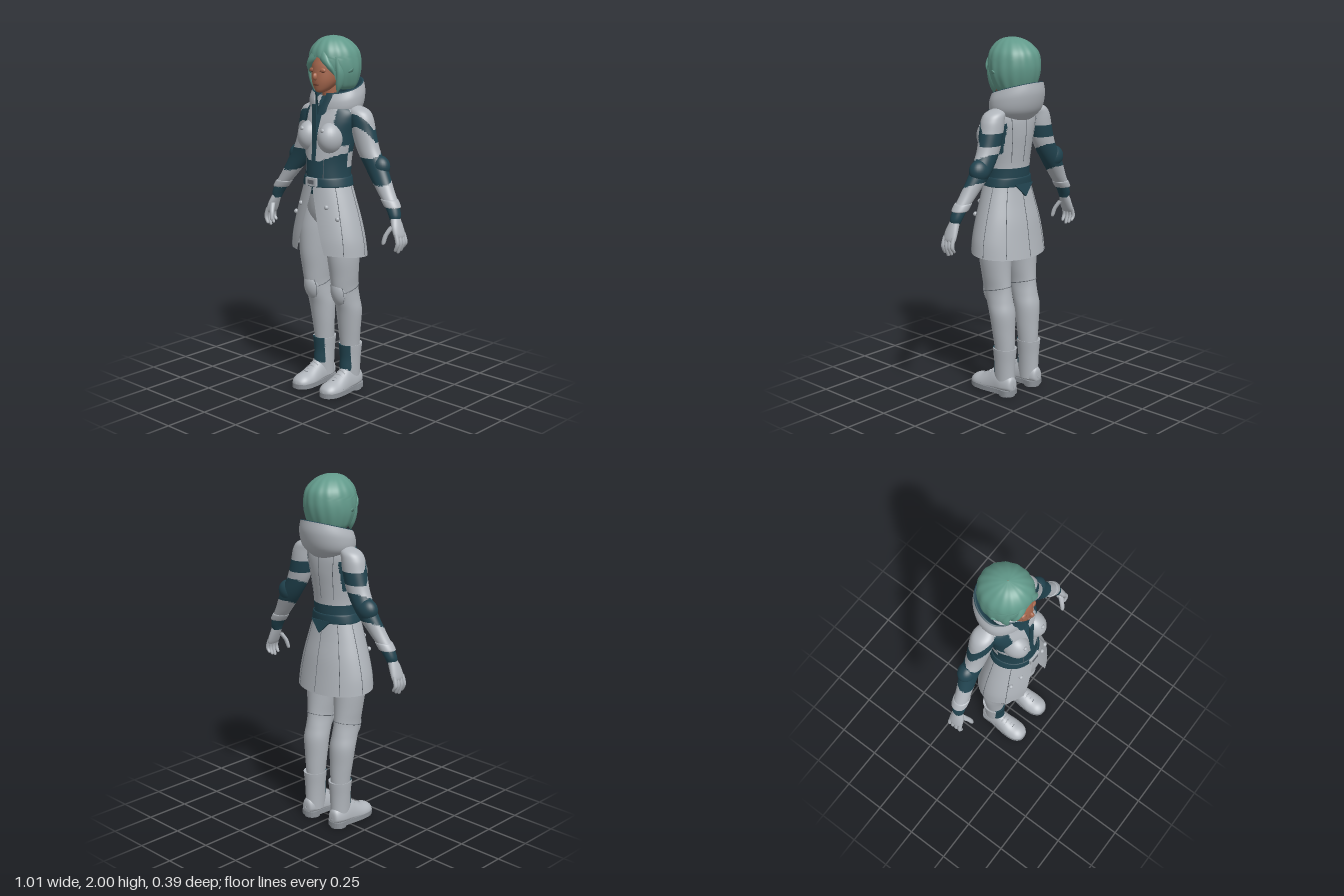
import * as THREE from 'three';

const mat = (name, color, side = THREE.DoubleSide) => {
  const m = new THREE.MeshStandardMaterial({ color, side });
  m.name = name;
  return m;
};
const coat = mat('pale grey cloth', 0xb0b5bb);
const dark = mat('dark teal cloth', 0x21434f);
const hairMat = mat('green hair', 0x629a8b);
const skin = mat('skin', 0xa8694f);
const brown = mat('lash and lip brown', 0x70402f);
const seamMat = mat('seam grey', 0x646a71);
const soleMat = mat('sole grey', 0x8b9096);

// Cross-section row: [y, centreX, centreZ, halfWidth, depthFront, depthBack, tilt]
const spline = (a, b, c, d, t) =>
  b + 0.5 * t * (c - a + t * (2 * a - 5 * b + 4 * c - d + t * (3 * (b - c) + d - a)));
function sectionAt(rows, t) {
  const f = t * (rows.length - 1), k = Math.min(Math.floor(f), rows.length - 2);
  const r = i => rows[THREE.MathUtils.clamp(i, 0, rows.length - 1)];
  return [0, 1, 2, 3, 4, 5, 6].map(n =>
    spline(r(k - 1)[n] || 0, r(k)[n] || 0, r(k + 1)[n] || 0, r(k + 2)[n] || 0, f - k));
}
function pointOn([y, cx, cz, rx, rf, rb, tilt], a, scale = 1) {
  const c = Math.cos(a), dz = c * (c > 0 ? rf : rb) * scale;
  return new THREE.Vector3(cx + rx * Math.sin(a) * scale, y - tilt * dz, cz + dz);
}

// Skin a surface over rows listed from bottom to top; gap(y) opens a slit in front
function loft(rows, { seg = 40, sub = 6, gap = null, ripple = 0 } = {}) {
  const pos = [], index = [], n = (rows.length - 1) * sub, cols = gap ? seg + 1 : seg;
  for (let j = 0; j <= n; j++) {
    const s = sectionAt(rows, j / n);
    const a0 = gap ? Math.asin(Math.min(0.99, gap(s[0]) / Math.max(s[3], 0.001))) : 0;
    for (let i = 0; i < cols; i++) {
      const a = a0 + (i / seg) * (2 * Math.PI - 2 * a0);
      const p = pointOn(s, a, 1 + ripple * Math.cos(15 * a + 9 * s[0]));
      pos.push(p.x, p.y, p.z);
      if (j === n || i === seg) continue;
      const A = j * cols + i, B = j * cols + ((i + 1) % cols);
      index.push(A, B, B + cols, A, B + cols, A + cols);
    }
  }
  const g = new THREE.BufferGeometry();
  g.setAttribute('position', new THREE.Float32BufferAttribute(pos, 3));
  g.setIndex(index);
  g.computeVertexNormals();
  return g;
}

// Sort triangles into pale (0) and dark (1) groups by a rule on their centre
function paint(g, rule) {
  const p = g.attributes.position, buckets = [[], []];
  for (let i = 0; i < g.index.count; i += 3) {
    const ids = [0, 1, 2].map(k => g.index.getX(i + k));
    const mid = f => (f(ids[0]) + f(ids[1]) + f(ids[2])) / 3;
    const isDark = rule(mid(k => p.getX(k)), mid(k => p.getY(k)), mid(k => p.getZ(k)));
    buckets[isDark ? 1 : 0].push(...ids);
  }
  g.setIndex(buckets.flat());
  g.addGroup(0, buckets[0].length, 0);
  g.addGroup(buckets[0].length, buckets[1].length, 1);
  return g;
}

export function createModel() {
  const model = new THREE.Group();
  const add = (name, geo, material) => {
    const m = new THREE.Mesh(geo, material);
    m.name = name;
    model.add(m);
    return m;
  };
  const blob = (name, material, p, r) => {
    const m = add(name, new THREE.SphereGeometry(1, 28, 18), material);
    m.position.set(...p);
    m.scale.set(...r);
    return m;
  };
  const seam = (name, pts, closed = false, r = 0.0018) =>
    add(name, new THREE.TubeGeometry(new THREE.CatmullRomCurve3(pts, closed), 40, r, 5, closed), seamMat);
  const seamOn = (name, rows, a, t0, t1) =>
    seam(name, Array.from({ length: 12 }, (_, i) => pointOn(sectionAt(rows, t0 + (t1 - t0) * i / 11), a)));

  // Jacket body
  const torso = [
    [1.15, 0, 0.02, 0.15, 0.125, 0.1], [1.2, 0, 0.02, 0.138, 0.133, 0.1], [1.25, 0, 0.02, 0.129, 0.135, 0.105],
    [1.32, 0, 0.02, 0.129, 0.13, 0.11], [1.4, 0, 0.02, 0.14, 0.123, 0.12], [1.48, 0, 0.01, 0.15, 0.125, 0.12],
    [1.55, 0, 0, 0.165, 0.115, 0.112], [1.6, 0, -0.005, 0.16, 0.1, 0.1], [1.64, 0, -0.005, 0.115, 0.09, 0.09],
    [1.68, 0, 0, 0.07, 0.06, 0.065]];
  add('jacketBody', paint(loft(torso, { seg: 112, sub: 10 }), (x, y, z) => {
    const ax = Math.abs(x);
    if (z > 0.02) return (ax < 0.016 && y > 1.3) || y < 1.335 + 0.45 * Math.max(0, ax - 0.04) ||
      (ax > 0.1 && y > 1.42 && y < 1.62);
    return y < 1.3 || (ax > 0.115 && y > 1.38 && y < 1.55);
  }), [coat, dark]);
  for (const a of [2.55, Math.PI, 3.73]) seamOn('jacketBackSeam', torso, a, 0.35, 0.85);
  for (const s of [-1, 1]) {
    blob('chestPanel', coat, [s * 0.073, 1.46, 0.09], [0.066, 0.085, 0.08]);
    blob('jacketButton', coat, [s * 0.075, 1.505, 0.156], [0.012, 0.012, 0.01]);
    seamOn('waistSeam', torso, s * 0.5, 0.12, 0.38);
  }
  add('frontPlacket', new THREE.BoxGeometry(0.03, 0.36, 0.008), dark).position.set(0, 1.46, 0.137);
  add('belt', loft([[1.195, 0, 0.02, 0.143, 0.14, 0.108], [1.2, 0, 0.02, 0.146, 0.143, 0.11],
    [1.24, 0, 0.02, 0.136, 0.141, 0.112], [1.245, 0, 0.02, 0.13, 0.135, 0.106]], { seg: 56 }), dark);
  add('buckleFrame', new THREE.BoxGeometry(0.075, 0.045, 0.014), coat).position.set(0, 1.222, 0.163);
  add('bucklePlate', new THREE.BoxGeometry(0.045, 0.022, 0.006), seamMat).position.set(0, 1.222, 0.17);
  // Point of the waistband at the back
  const point = new THREE.Shape([[-0.07, 0.02], [0, -0.05], [0.07, 0.02]].map(p => new THREE.Vector2(...p)));
  const backPoint = add('backPoint', new THREE.ExtrudeGeometry(point, { depth: 0.008, bevelEnabled: false }), dark);
  backPoint.position.set(0, 1.19, -0.103);
  backPoint.rotation.x = 0.2;

  // Coat skirt, open in front over the pelvis
  const skirt = [[0.815, 0, 0.02, 0.24, 0.17, 0.168, -0.09], [0.9, 0, 0.02, 0.231, 0.168, 0.155, -0.05],
    [1, 0, 0.02, 0.207, 0.16, 0.14], [1.1, 0, 0.02, 0.176, 0.148, 0.12], [1.17, 0, 0.02, 0.152, 0.14, 0.108],
    [1.215, 0, 0.02, 0.136, 0.135, 0.103]];
  const slit = y => THREE.MathUtils.clamp(0.012 + (1.15 - y) * 0.265, 0.004, 0.105);
  add('coatSkirt', loft(skirt, { seg: 72, gap: slit }), coat);
  for (const a of [0.95, 1.75, 2.45, Math.PI, 3.83, 4.53, 5.33]) seamOn('skirtSeam', skirt, a, 0.02, 0.95);
  add('pelvis', loft([[0.95, 0, 0.02, 0.004, 0.01, 0.01], [0.98, 0, 0.02, 0.04, 0.085, 0.07],
    [1.05, 0, 0.02, 0.13, 0.115, 0.1], [1.2, 0, 0.02, 0.13, 0.125, 0.09]]), coat);

  // Hood, lining, collar
  const hoodGap = y => 0.035 + THREE.MathUtils.clamp((y - 1.6) * 0.3, 0, 0.03);
  const rim = [1.72, 0, -0.03, 0.146, 0.105, 0.16, 0.3];
  add('hood', loft([[1.555, 0, -0.03, 0.09, 0.09, 0.075], [1.605, 0, -0.03, 0.15, 0.12, 0.135, 0.08],
    [1.67, 0, -0.03, 0.16, 0.12, 0.162, 0.2], rim], { seg: 56, gap: hoodGap }), coat);
  add('hoodLining', loft([rim, [1.722, 0, -0.03, 0.134, 0.1, 0.148, 0.3], [1.69, 0, -0.02, 0.112, 0.095, 0.12, 0.25],
    [1.63, 0, -0.01, 0.09, 0.085, 0.085, 0.1]], { seg: 56, gap: hoodGap }), dark);
  add('collar', loft([[1.58, 0, 0.01, 0.1, 0.095, 0.09], [1.64, 0, 0.005, 0.085, 0.09, 0.085],
    [1.705, 0, 0.005, 0.082, 0.088, 0.085, 0.1]], { gap: y => THREE.MathUtils.clamp((y - 1.6) * 0.35, 0.003, 0.04) }), dark);

  // Neck and head
  add('neck', loft([[1.58, 0, 0, 0.05, 0.055, 0.05], [1.66, 0, 0.01, 0.043, 0.045, 0.045],
    [1.75, 0, 0.02, 0.045, 0.045, 0.05]]), skin);
  add('head', loft([[1.698, 0, 0.09, 0.004, 0.006, 0.01], [1.706, 0, 0.085, 0.026, 0.032, 0.04],
    [1.73, 0, 0.07, 0.05, 0.055, 0.075], [1.765, 0, 0.05, 0.07, 0.08, 0.1], [1.81, 0, 0.035, 0.08, 0.093, 0.12],
    [1.86, 0, 0.02, 0.085, 0.1, 0.13], [1.92, 0, 0, 0.075, 0.09, 0.1], [1.97, 0, -0.01, 0.02, 0.02, 0.02]]), skin);
  blob('nose', skin, [0, 1.787, 0.132], [0.012, 0.02, 0.016]);
  blob('lips', brown, [0, 1.745, 0.124], [0.02, 0.006, 0.009]);
  for (const s of [-1, 1]) {
    blob('eyelid', skin, [s * 0.036, 1.82, 0.113], [0.021, 0.013, 0.011]);
    blob('lashLine', brown, [s * 0.037, 1.814, 0.117], [0.019, 0.003, 0.008]);
    blob('ear', skin, [s * 0.083, 1.79, 0.01], [0.012, 0.03, 0.02]);
  }

  // Bobbed hair with face opening
  add('hairBob', loft([[1.715, 0, -0.035, 0.1, 0.095, 0.085], [1.74, 0, -0.03, 0.12, 0.11, 0.112],
    [1.8, 0, -0.02, 0.139, 0.12, 0.143], [1.86, 0, -0.02, 0.14, 0.14, 0.15], [1.92, 0, -0.02, 0.126, 0.135, 0.138],
    [1.965, 0, -0.015, 0.09, 0.1, 0.1], [1.99, 0, -0.01, 0.05, 0.055, 0.055], [2, 0, -0.01, 0.002, 0.002, 0.002]],
  { seg: 120, ripple: 0.012, gap: y => 0.085 * Math.sqrt(THREE.MathUtils.clamp((1.89 - y) / 0.07, 0, 1)) }), hairMat);
  for (const s of [-1, 1]) {
    add('sideLock', loft([[1.7, s * 0.082, 0.05, 0.002, 0.002, 0.002], [1.745, s * 0.094, 0.045, 0.016, 0.022, 0.03],
      [1.81, s * 0.103, 0.045, 0.02, 0.03, 0.04], [1.89, s * 0.09, 0.05, 0.02, 0.03, 0.03]], { seg: 16 }), hairMat);
    add('fringeLock', loft([[1.795, s * 0.088, 0.075, 0.002, 0.002, 0.002], [1.835, s * 0.074, 0.095, 0.018, 0.016, 0.02],
      [1.875, s * 0.045, 0.105, 0.03, 0.017, 0.02], [1.92, s * 0.02, 0.095, 0.028, 0.016, 0.02]], { seg: 16 }), hairMat);
    add('flickedTip', loft([[1.8, s * 0.12, 0, 0.01, 0.02, 0.02], [1.815, s * 0.132, 0, 0.013, 0.018, 0.018],
      [1.832, s * 0.152, 0, 0.002, 0.002, 0.002]], { seg: 12 }), hairMat);
  }

  for (const s of [-1, 1]) {
    // Sleeve with dark band, elbow and cuff
    const arm = [[1.05, 0.444, -0.01, 0.026, 0.028, 0.028], [1.08, 0.437, -0.015, 0.034, 0.036, 0.034],
      [1.13, 0.41, -0.02, 0.042, 0.038, 0.038], [1.2, 0.357, -0.03, 0.053, 0.042, 0.042],
      [1.3, 0.288, -0.042, 0.068, 0.048, 0.05], [1.4, 0.228, -0.04, 0.069, 0.053, 0.056],
      [1.5, 0.197, -0.037, 0.069, 0.06, 0.062], [1.57, 0.182, -0.035, 0.066, 0.06, 0.062],
      [1.61, 0.162, -0.035, 0.054, 0.05, 0.052], [1.635, 0.135, -0.035, 0.01, 0.015, 0.015]]
      .map(([y, x, ...r]) => [y, s * x, ...r]);
    add('sleeve', paint(loft(arm, { seg: 72, sub: 10 }), (x, y, z) =>
      y < 1.115 || Math.abs(y - 1.31 + 0.4 * (z + 0.04)) < 0.068 ||
      Math.abs(y - 1.475 - 1.3 * Math.max(0, z + 0.04)) < 0.035), [coat, dark]);
    add('cuff', loft([[1.115, s * 0.42, -0.02, 0.04, 0.038, 0.038], [1.12, s * 0.417, -0.02, 0.047, 0.044, 0.044],
      [1.15, s * 0.396, -0.022, 0.049, 0.045, 0.045], [1.155, s * 0.392, -0.022, 0.042, 0.04, 0.04]]), coat);
    blob('elbowPad', dark, [s * 0.3, 1.315, -0.05], [0.062, 0.06, 0.05]);

    // Gloved hand
    add('palm', loft([[0.955, s * 0.484, -0.008, 0.012, 0.036, 0.034], [0.975, s * 0.48, -0.008, 0.02, 0.045, 0.04],
      [1.02, s * 0.463, -0.008, 0.024, 0.042, 0.037], [1.07, s * 0.443, -0.012, 0.024, 0.028, 0.026]]), coat);
    [[0.03, 0.89], [0.006, 0.878], [-0.017, 0.886], [-0.038, 0.9]].forEach(([z, tip]) =>
      add('finger', loft([[tip, s * 0.481, z, 0.002, 0.002, 0.002], [tip + 0.008, s * 0.483, z, 0.009, 0.009, 0.009],
        [0.935, s * 0.496, z, 0.011, 0.011, 0.011], [0.985, s * 0.482, z * 0.9, 0.012, 0.012, 0.012]], { seg: 14 }), coat));
    add('thumb', loft([[0.922, s * 0.421, 0.058, 0.002, 0.002, 0.002], [0.932, s * 0.422, 0.057, 0.011, 0.01, 0.01],
      [0.975, s * 0.43, 0.046, 0.013, 0.013, 0.013], [1.02, s * 0.45, 0.02, 0.016, 0.016, 0.016]], { seg: 14 }), coat);

    // Skirt buttons
    for (const [x, y, z] of [[0.095, 1.09, 0.148], [0.155, 1.03, 0.125]])
      blob('skirtButton', coat, [s * x, y, z], [0.013, 0.013, 0.012]);

    // Leg and knee pad
    const leg = [[0.2, 0.098, -0.045, 0.05, 0.055, 0.05], [0.28, 0.098, -0.04, 0.055, 0.056, 0.06],
      [0.38, 0.1, -0.034, 0.065, 0.062, 0.067], [0.48, 0.103, -0.03, 0.072, 0.076, 0.072],
      [0.55, 0.103, -0.012, 0.067, 0.083, 0.078], [0.62, 0.104, 0.008, 0.064, 0.085, 0.088],
      [0.7, 0.105, 0.015, 0.073, 0.09, 0.09], [0.8, 0.105, 0.02, 0.083, 0.1, 0.095],
      [0.92, 0.1, 0.02, 0.089, 0.105, 0.1], [1, 0.092, 0.02, 0.085, 0.1, 0.1], [1.08, 0.08, 0.02, 0.07, 0.09, 0.09]]
      .map(([y, x, ...r]) => [y, s * x, ...r]);
    add('leg', loft(leg), coat);
    blob('kneePad', coat, [s * 0.103, 0.595, 0.052], [0.051, 0.083, 0.044]).rotation.x = 0.22;
    const ring = Array.from({ length: 24 }, (_, i) => pointOn([0.615, s * 0.104, 0.006, 0.0645, 0.086, 0.088, 0.25], i * Math.PI / 12));
    seam('kneeSeam', ring, true, 0.0022);
    seam('kneePadSeam', Array.from({ length: 20 }, (_, i) => {
      const a = i * Math.PI / 10;
      return new THREE.Vector3(s * 0.103 + 0.047 * Math.cos(a), 0.595 + 0.078 * Math.sin(a), 0.068 + 0.017 * Math.sin(a));
    }), true);

    // Boot shaft with dark front inlay
    const cx = s * 0.1;
    add('bootShaft', paint(loft([[0.05, cx, -0.045, 0.05, 0.06, 0.06], [0.13, cx, -0.045, 0.052, 0.07, 0.06],
      [0.2, cx, -0.045, 0.056, 0.065, 0.063], [0.268, cx, -0.045, 0.062, 0.07, 0.07], [0.277, cx, -0.045, 0.061, 0.069, 0.069],
      [0.272, cx, -0.045, 0.05, 0.05, 0.05]], { seg: 72, sub: 8 }),
    (x, y, z) => z > -0.02 && Math.abs(x - cx) < 0.043 && y > 0.13), [coat, dark]);

    // Foot, sole and heel
    const fx = s * 0.105;
    const foot = loft([[-0.116, fx, -0.06, 0.005, 0.01, 0.01], [-0.108, fx, -0.06, 0.034, 0.03, 0.05],
      [-0.06, fx, -0.055, 0.049, 0.03, 0.08], [0, fx, -0.05, 0.051, 0.03, 0.1], [0.05, fx, -0.045, 0.056, 0.03, 0.078],
      [0.1, fx, -0.04, 0.061, 0.03, 0.056], [0.15, fx, -0.04, 0.055, 0.025, 0.044], [0.18, fx, -0.04, 0.034, 0.02, 0.024],
      [0.189, fx, -0.04, 0.003, 0.003, 0.003]]);
    foot.rotateX(Math.PI / 2);
    add('bootFoot', foot, coat);
    const half = [[0.045, -0.1], [0.05, -0.03], [0.062, 0.08], [0.055, 0.15], [0.025, 0.187]];
    const outline = [[0, -0.118], ...half, ...half.slice().reverse().map(([x, z]) => [-x, z])]
      .map(([x, z]) => new THREE.Vector3(x, z, 0));
    const sole = new THREE.ExtrudeGeometry(new THREE.Shape(
      new THREE.CatmullRomCurve3(outline, true).getPoints(48).slice(0, -1).map(p => new THREE.Vector2(p.x, p.y))),
    { depth: 0.027, bevelEnabled: false });
    sole.rotateX(Math.PI / 2);
    add('sole', sole, soleMat).position.set(fx, 0.039, 0);
    const heel = add('heel', new THREE.CylinderGeometry(0.048, 0.046, 0.03, 28), soleMat);
    heel.position.set(fx, 0.015, -0.066);
    for (let i = 0; i < 4; i++)
      seam('lace', [-1, 0, 1].map(k => new THREE.Vector3(fx + k * 0.03,
        0.147 - i * 0.015 - Math.abs(k) * 0.014, 0.014 + i * 0.023)), false, 0.004).material = coat;
    seam('toeSeam', [-1, -0.5, 0, 0.5, 1].map(k => new THREE.Vector3(fx + k * 0.06,
      0.094 - 0.046 * k * k, 0.106 - 0.02 * k * k)));
  }
  return model;
}
